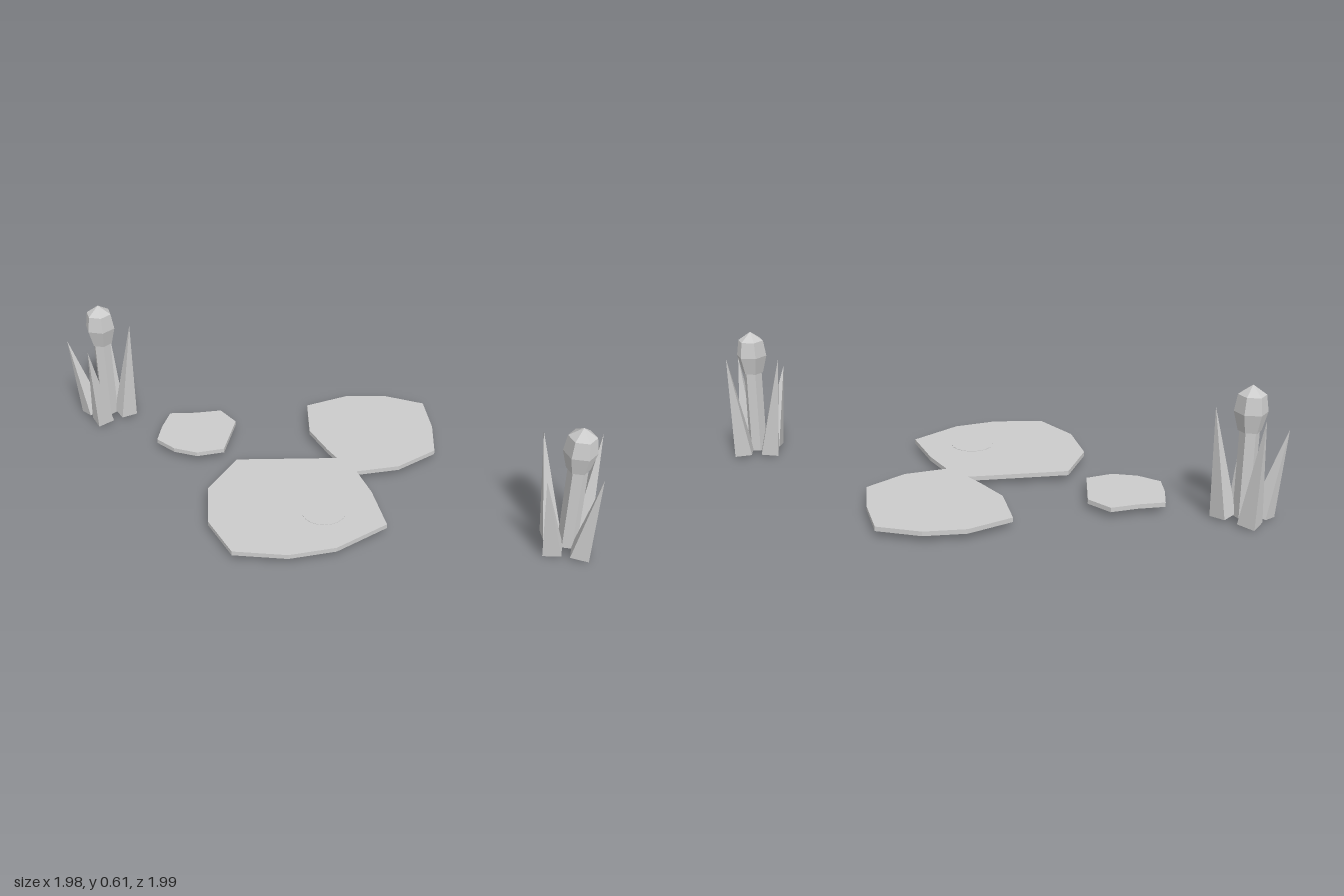
import * as THREE from 'three';

const grey = new THREE.MeshStandardMaterial({ color: 0xcccccc, flatShading: true });
grey.name = 'plain grey';

function part(name, geometry, parent) {
  const mesh = new THREE.Mesh(geometry, grey);
  mesh.name = name;
  parent.add(mesh);
  return mesh;
}

// flat slab with an outline of [x, z] points
function addPad(name, outline, parent) {
  const shape = new THREE.Shape(outline.map(([x, z]) => new THREE.Vector2(x, -z)));
  const geo = new THREE.ExtrudeGeometry(shape, { depth: 0.021, bevelEnabled: false });
  geo.rotateX(-Math.PI / 2).translate(0, 0.027, 0);
  part(name, geo, parent);
}

// reed: stem, six-sided seed head and four leaning blades with tips [x, height, z]
function addReed(name, x, z, tips, parent) {
  const reed = new THREE.Group();
  reed.name = name;
  reed.position.set(x, 0, z);
  parent.add(reed);

  part('stem', new THREE.CylinderGeometry(0.043, 0.043, 0.4, 6).translate(0, 0.21, 0), reed);

  const profile = [[0, 0.405], [0.05, 0.405], [0.072, 0.49], [0.06, 0.565], [0, 0.607]];
  part('seedHead', new THREE.LatheGeometry(profile.map(p => new THREE.Vector2(...p)), 6), reed);

  for (const [tx, h, tz] of tips) {
    const angle = Math.atan2(tx, tz);
    const base = new THREE.Vector3(Math.sin(angle) * 0.085, 0.011, Math.cos(angle) * 0.085);
    const lean = new THREE.Vector3(tx, h, tz).sub(base);
    const length = lean.length();
    const geo = new THREE.ConeGeometry(0.057, length, 4).translate(0, length / 2, 0).rotateY(angle);
    const blade = part('blade', geo, reed);
    blade.position.copy(base);
    blade.quaternion.setFromUnitVectors(new THREE.Vector3(0, 1, 0), lean.normalize());
  }
}

export function createModel() {
  const model = new THREE.Group();
  model.name = 'pondPlants';

  // lily pads; the two larger ones meet along a short shared edge
  addPad('largePad', [
    [-0.35, -0.16], [0.1, -0.02], [0.15, 0.11], [0.16, 0.28], [0.14, 0.52],
    [-0.12, 0.6], [-0.33, 0.58], [-0.55, 0.48], [-0.595, 0.25], [-0.535, 0.015],
  ], model);
  addPad('mediumPad', [
    [0.1, -0.02], [0.08, -0.1], [0.05, -0.28], [0.11, -0.5], [0.33, -0.52], [0.51, -0.46],
    [0.67, -0.33], [0.63, -0.12], [0.56, 0.07], [0.35, 0.135], [0.15, 0.11],
  ], model);
  addPad('smallPad', [
    [-0.56, -0.65], [-0.44, -0.615], [-0.315, -0.595], [-0.27, -0.475], [-0.385, -0.265],
    [-0.515, -0.275], [-0.61, -0.345], [-0.67, -0.445], [-0.625, -0.545],
  ], model);

  // barely raised disc on the large pad
  part('padDisc', new THREE.CylinderGeometry(0.1, 0.1, 0.006, 20).translate(-0.09, 0.047, 0.343), model);

  addReed('backReed', -0.833, -0.836, [
    [0.048, 0.51, -0.163], [-0.16, 0.405, -0.067], [-0.09, 0.44, 0.142], [0.13, 0.51, 0.07],
  ], model);
  addReed('frontReed', 0.848, 0.843, [
    [-0.085, 0.51, -0.163], [-0.165, 0.405, 0.042], [0.032, 0.44, 0.15], [0.139, 0.51, -0.06],
  ], model);

  return model;
}
